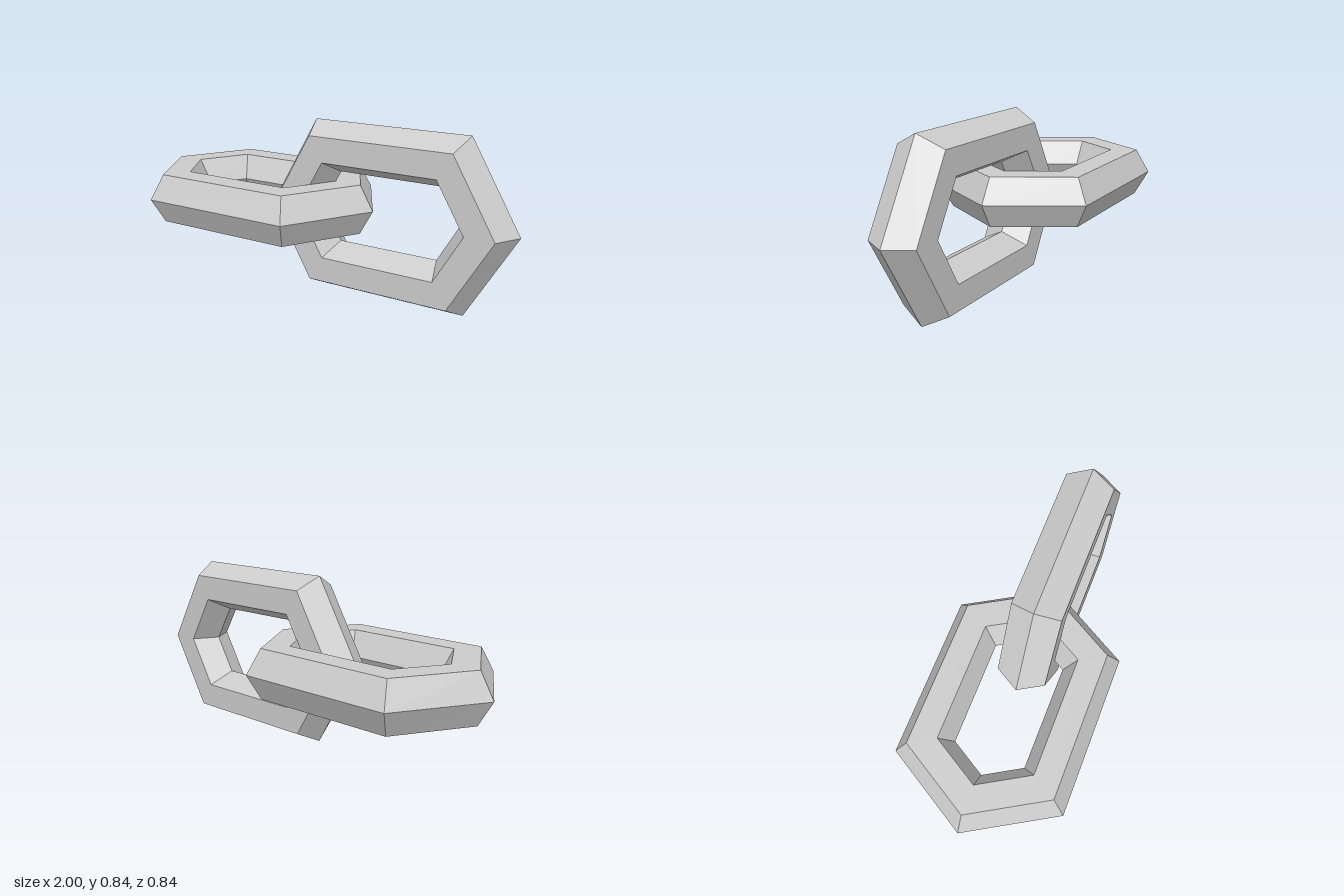
import * as THREE from 'three';

const HALF_HEIGHT = 0.419, HALF_LENGTH = 0.64, HALF_CORNER = 0.397;

// Hexagonal bar profile: distance from the link's long axis, and depth
const PROFILE = [
  [0.419, 0], [0.358, 0.122], [0.236, 0.122],
  [0.175, 0], [0.236, -0.122], [0.358, -0.122],
];

// Six mitred stations around the elongated hexagonal path
function stations([r, z]) {
  const inset = r - HALF_HEIGHT;
  const tip = HALF_LENGTH + inset * 2 / Math.sqrt(3);
  const corner = HALF_CORNER + inset / Math.sqrt(3);
  return [
    [tip, 0, z], [corner, r, z], [-corner, r, z],
    [-tip, 0, z], [-corner, -r, z], [corner, -r, z],
  ];
}

function linkGeometry() {
  const rails = PROFILE.map(stations);
  const positions = [];
  for (let j = 0; j < 6; j++) {
    for (let i = 0; i < 6; i++) {
      const j1 = (j + 1) % 6, i1 = (i + 1) % 6;
      const a = rails[j][i], b = rails[j][i1], c = rails[j1][i1], d = rails[j1][i];
      positions.push(...a, ...b, ...c, ...a, ...c, ...d);
    }
  }
  const geometry = new THREE.BufferGeometry();
  geometry.setAttribute('position', new THREE.Float32BufferAttribute(positions, 3));
  geometry.computeVertexNormals();
  return geometry;
}

export function createModel() {
  const group = new THREE.Group();
  group.name = 'chainLinks';
  const geometry = linkGeometry();
  const material = new THREE.MeshStandardMaterial({ color: 0xcccccc, flatShading: true });

  // Upright link on the left, flat link on the right, interlocked
  const uprightLink = new THREE.Mesh(geometry, material);
  uprightLink.name = 'uprightLink';
  uprightLink.position.set(0.36, HALF_HEIGHT, 0);

  const flatLink = new THREE.Mesh(geometry, material);
  flatLink.name = 'flatLink';
  flatLink.position.set(-0.36, HALF_HEIGHT, 0);
  flatLink.rotation.x = Math.PI / 2;

  group.add(uprightLink, flatLink);
  return group;
}
